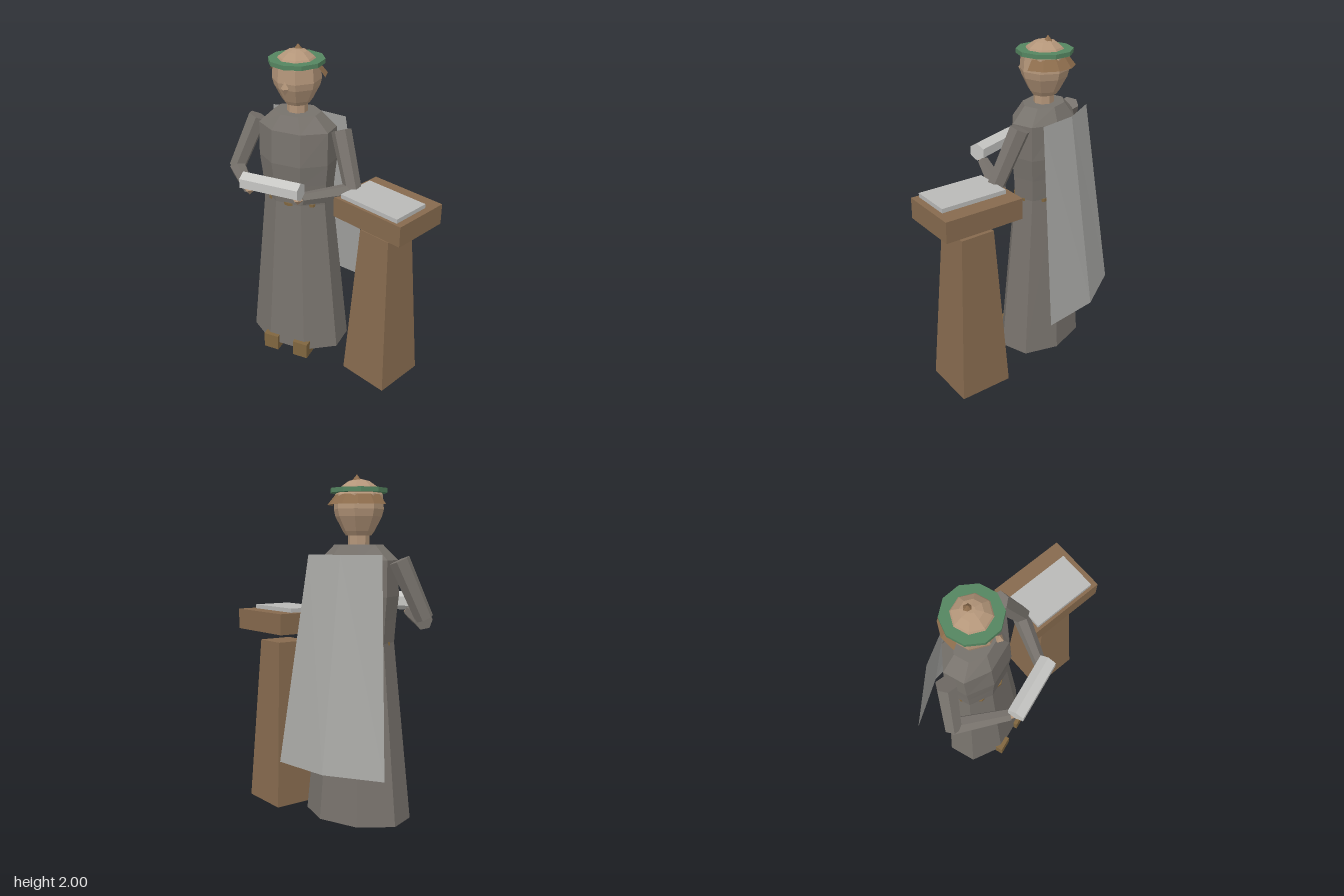
import * as THREE from 'three';

const mat = (name, color, extra = {}) => {
  const m = new THREE.MeshStandardMaterial({ color, flatShading: true, ...extra });
  m.name = name;
  return m;
};

export function createModel() {
  const robe = mat('grey robe', 0x77726c);
  const wood = mat('brown wood', 0x866a4e);
  const leather = mat('brown leather', 0x80663f);
  const skin = mat('skin', 0xb4967a);
  const hairMat = mat('brown hair', 0x8c6c4c, { side: THREE.DoubleSide });
  const green = mat('green brim', 0x558560);
  const capeMat = mat('pale grey cape', 0xa6a6a3, { side: THREE.DoubleSide });
  const paper = mat('paper', 0xb9b9b7);
  const scrollMat = mat('light scroll', 0xc6c6c3);

  const model = new THREE.Group();
  const person = new THREE.Group();
  person.name = 'person';
  person.position.set(-0.215, 0, -0.02);
  person.rotation.y = 0.35;
  model.add(person);

  const add = (parent, name, geo, material, x = 0, y = 0, z = 0) => {
    const mesh = new THREE.Mesh(geo, material);
    mesh.name = name;
    mesh.position.set(x, y, z);
    parent.add(mesh);
    return mesh;
  };

  // Closed cross-section rings: [y, x radius, z radius]
  const rings = (list, sides = 8, turn = Math.PI / 8) => {
    const pos = [], idx = [];
    for (const [y, rx, rz] of list) {
      for (let i = 0; i < sides; i++) {
        const a = turn + (i / sides) * Math.PI * 2;
        pos.push(rx * Math.sin(a), y, rz * Math.cos(a));
      }
    }
    for (let r = 0; r < list.length - 1; r++) {
      for (let i = 0; i < sides; i++) {
        const a = r * sides + i, b = r * sides + ((i + 1) % sides);
        idx.push(a, b, b + sides, a, b + sides, a + sides);
      }
    }
    const top = (list.length - 1) * sides;
    for (let i = 1; i < sides - 1; i++) {
      idx.push(0, i + 1, i, top, top + i, top + i + 1);
    }
    const g = new THREE.BufferGeometry();
    g.setAttribute('position', new THREE.Float32BufferAttribute(pos, 3));
    g.setIndex(idx);
    g.computeVertexNormals();
    return g;
  };

  // Tapered six-sided limb between two points
  const limb = (name, a, b, ra, rb, material) => {
    const from = new THREE.Vector3(...a), to = new THREE.Vector3(...b);
    const dir = to.clone().sub(from);
    const mesh = add(person, name, new THREE.CylinderGeometry(rb, ra, dir.length(), 6), material);
    mesh.position.copy(from).add(to).multiplyScalar(0.5);
    mesh.quaternion.setFromUnitVectors(new THREE.Vector3(0, 1, 0), dir.normalize());
  };

  // Robe
  add(person, 'skirt', rings([[0.045, 0.326, 0.23], [1.07, 0.218, 0.155]]), robe);
  add(person, 'torso', rings([
    [1.07, 0.218, 0.155], [1.2, 0.228, 0.165], [1.33, 0.242, 0.18],
    [1.53, 0.24, 0.165], [1.615, 0.145, 0.115],
  ]), robe);
  add(person, 'belt', rings([[1.058, 0.207, 0.152], [1.076, 0.207, 0.152]], 8, 0), leather);

  // Arms, hands and shoes
  for (const s of [1, -1]) {
    limb('upperArm', [s * 0.27, 1.53, -0.015], [s * 0.385, 1.21, 0.07], 0.06, 0.052, robe);
    limb('forearm', [s * 0.385, 1.2, 0.06], [s * 0.17, 1.22, 0.31], 0.052, 0.036, robe);
    add(person, 'hand', new THREE.OctahedronGeometry(0.035), skin, s * 0.155, 1.22, 0.325);
    add(person, 'shoe', new THREE.BoxGeometry(0.1, 0.105, 0.27), leather, s * 0.105, 0.0525, 0.1);
  }

  // Scroll held across the hands
  const scroll = add(person, 'scroll', new THREE.CylinderGeometry(0.055, 0.055, 0.365, 6), scrollMat, 0.005, 1.283, 0.347);
  scroll.rotation.set(Math.PI / 2, 0, Math.PI / 2, 'ZYX');
  scroll.rotation.set(0, Math.PI / 2, Math.PI / 2, 'ZYX');

  // Head
  add(person, 'neck', rings([[1.6, 0.062, 0.058], [1.69, 0.062, 0.058]]), skin);
  add(person, 'head', rings([
    [1.665, 0.072, 0.072], [1.69, 0.09, 0.09], [1.77, 0.132, 0.132],
    [1.81, 0.142, 0.142], [1.89, 0.136, 0.136], [1.935, 0.102, 0.102],
    [1.965, 0.06, 0.06], [1.975, 0.02, 0.02],
  ]), skin);
  const nose = add(person, 'nose', new THREE.OctahedronGeometry(0.025), skin, 0, 1.79, 0.15);
  nose.scale.y = 1.6;
  add(person, 'hair', new THREE.CylinderGeometry(0.132, 0.176, 0.055, 6, 1, true, Math.PI / 2, Math.PI), hairMat, 0, 1.862, 0);
  add(person, 'tuft', new THREE.ConeGeometry(0.036, 0.045, 6), hairMat, 0, 1.978, -0.02);

  // Brim: flat ring around the crown
  add(person, 'brim', new THREE.LatheGeometry([
    [0.1, 1.9], [0.163, 1.9], [0.163, 1.925], [0.1, 1.925], [0.1, 1.9],
  ].map(p => new THREE.Vector2(...p)), 10), green);

  // Cape: sheet flaring from shoulders to hem, bent along its middle
  const cape = new THREE.PlaneGeometry(1, 1, 2, 1);
  const cp = cape.attributes.position;
  for (let i = 0; i < cp.count; i++) {
    const side = cp.getX(i) * 2, top = cp.getY(i) > 0, mid = side === 0;
    cp.setXYZ(i, side * (top ? 0.24 : 0.346), top ? 1.56 : 0.37,
      top ? (mid ? -0.19 : -0.15) : (mid ? -0.372 : -0.295));
  }
  cape.computeVertexNormals();
  add(person, 'cape', cape, capeMat);

  // Lectern
  const lectern = new THREE.Group();
  lectern.name = 'lectern';
  lectern.position.set(0.395, 0, -0.13);
  model.add(lectern);
  const d = Math.SQRT2;
  add(lectern, 'post', rings([[0, 0.163 * d, 0.163 * d], [1.02, 0.105 * d, 0.105 * d]], 4, Math.PI / 4), wood);
  add(lectern, 'desk', new THREE.BoxGeometry(0.49, 0.125, 0.365), wood, 0, 1.1475, 0);
  add(lectern, 'page', new THREE.BoxGeometry(0.41, 0.025, 0.245), paper, 0, 1.2225, 0.042);

  return model;
}
